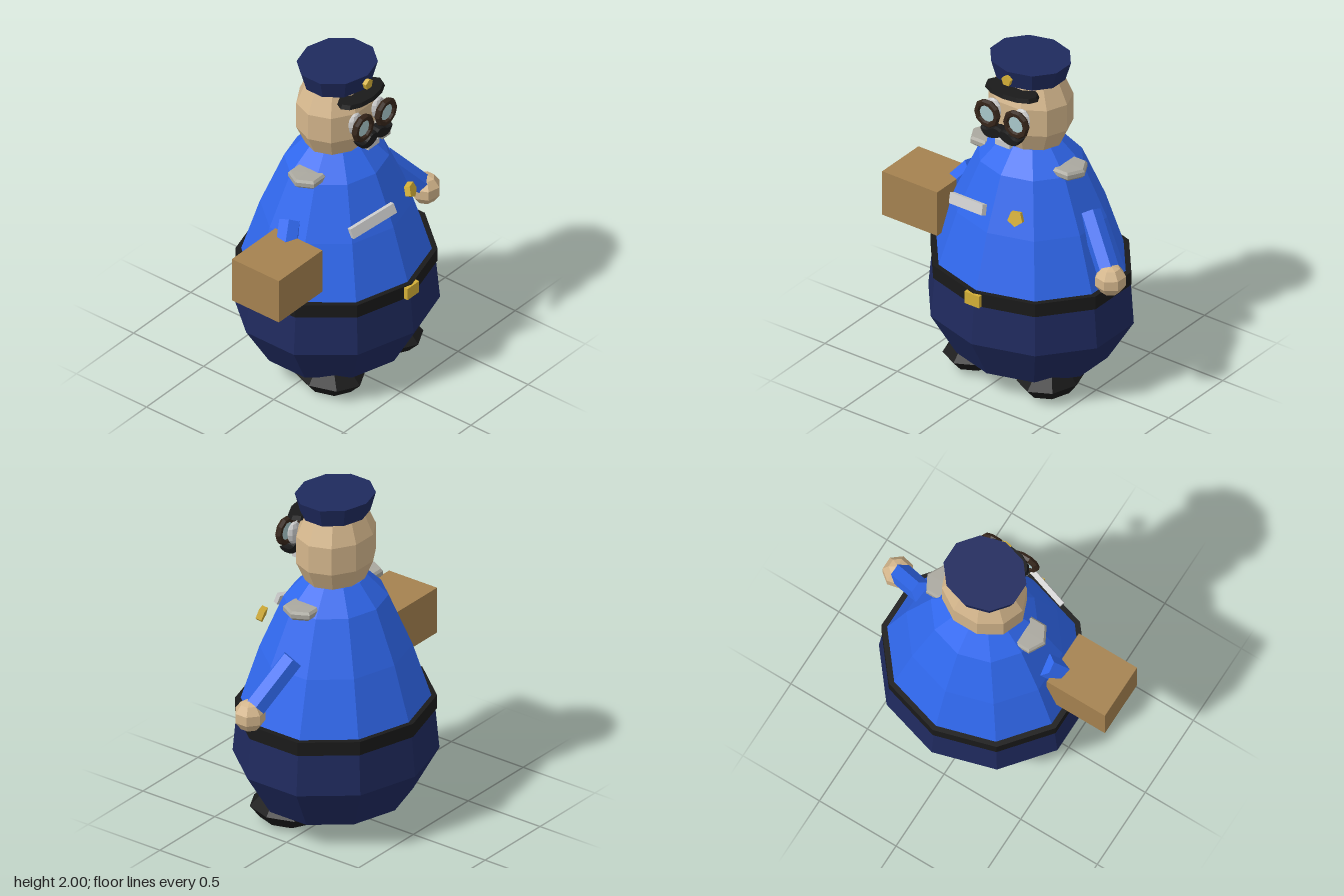
import * as THREE from 'three';

const mat = (color) => new THREE.MeshStandardMaterial({ color, flatShading: true });
const shirtBlue = mat(0x3068ee), navy = mat(0x1f2a5e), skin = mat(0xd4b68c), black = mat(0x1a1a1a),
  gold = mat(0xd4af37), silver = mat(0xaaa89f), white = mat(0xe6e6e6), brown = mat(0x35251a),
  glass = mat(0xa9c8cc), cardboard = mat(0xa58250);

export function createModel() {
  const root = new THREE.Group();
  const figure = new THREE.Group();
  figure.name = 'officer';
  figure.position.x = 0.05; // the carried box shifts the body off centre
  root.add(figure);

  function add(name, geometry, material, pos = [0, 0, 0], scale = [1, 1, 1], rot = [0, 0, 0]) {
    const mesh = new THREE.Mesh(geometry, material);
    mesh.name = name;
    mesh.position.set(...pos);
    mesh.scale.set(...scale);
    mesh.rotation.set(...rot);
    figure.add(mesh);
    return mesh;
  }
  // Profile given as [radius, height] from bottom to top
  const lathe = (points, sides, start = 0) =>
    new THREE.LatheGeometry(points.map(([r, y]) => new THREE.Vector2(r, y)), sides, start);
  const box = (w, h, d) => new THREE.BoxGeometry(w, h, d);
  const disc = (r, depth, sides) => new THREE.CylinderGeometry(r, r, depth, sides).rotateX(Math.PI / 2);

  // Ten-sided body, wider than deep
  const wide = [1.114, 1, 1];
  add('trousers', lathe([[0, 0.145], [0.41, 0.145], [0.55, 0.4], [0.527, 0.66], [0, 0.66]], 10), navy, [0, 0, 0], wide);
  add('belt', lathe([[0, 0.645], [0.537, 0.645], [0.537, 0.727], [0, 0.727]], 10), black, [0, 0, 0], wide);
  add('shirt', lathe([[0.515, 0.7], [0.507, 0.727], [0.407, 1.05], [0.28, 1.36], [0.165, 1.49], [0, 1.49]], 10), shirtBlue, [0, 0, 0], wide);
  add('buckle', box(0.1, 0.075, 0.05), gold, [0, 0.685, 0.523]);

  // Head, with corners at the sides
  add('head', lathe([[0, 1.46], [0.78, 1.49], [1, 1.605], [1, 1.77], [0.78, 1.885], [0, 1.9]], 10, Math.PI / 2),
    skin, [0, 0, 0], [0.249, 1, 0.21]);

  // Cap
  add('cap', lathe([[0, 1.89], [0.187, 1.89], [0.216, 2], [0, 2]], 10), navy, [0, 0, 0.005], wide);
  add('capPeak', new THREE.CylinderGeometry(0.93, 1, 0.025, 12), black, [0, 1.86, 0.175], [0.178, 1, 0.09]);
  add('capBadge', disc(0.032, 0.025, 5).rotateZ(Math.PI), gold, [0, 1.945, 0.222]);

  // Moustache half: a thick curl that thins towards a raised tip
  const curl = new THREE.Shape();
  curl.moveTo(0, 0.022);
  curl.quadraticCurveTo(0.04, 0.045, 0.075, 0.012);
  curl.quadraticCurveTo(0.1, -0.005, 0.132, 0.006);
  curl.quadraticCurveTo(0.11, -0.04, 0.075, -0.036);
  curl.quadraticCurveTo(0.03, -0.035, 0, -0.008);
  const curlGeo = new THREE.ExtrudeGeometry(curl, {
    depth: 0.03, curveSegments: 4, bevelThickness: 0.018, bevelSize: 0.006, bevelSegments: 1,
  });

  const handGeo = new THREE.SphereGeometry(0.092, 7, 5);
  const shoeGeo = new THREE.SphereGeometry(1, 8, 4);
  const epauletteGeo = lathe([[0, -0.03], [0.8, -0.028], [1, -0.01], [1, 0.014], [0.88, 0.028], [0, 0.03]], 6, Math.PI / 2);

  // Parts that come in pairs
  for (const s of [1, -1]) {
    const side = s > 0 ? 'left' : 'right';

    add(side + 'Eye', new THREE.SphereGeometry(1, 8, 6), white, [s * 0.1, 1.725, 0.215], [0.055, 0.068, 0.025]);
    add(side + 'GlassesRim', new THREE.TorusGeometry(0.068, 0.02, 6, 10), brown, [s * 0.1, 1.72, 0.27]);
    add(side + 'Lens', disc(0.06, 0.012, 10), glass, [s * 0.1, 1.72, 0.268]);

    const geo = curlGeo.clone();
    if (s < 0) geo.rotateY(Math.PI).translate(0, 0, 0.03);
    add(side + 'Moustache', geo, black, [0, 1.622, 0.245]);

    add(side + 'Epaulette', epauletteGeo, silver, [s * 0.285, 1.38, 0.02], [0.1, 1, 0.107]);

    // Sleeve from shoulder to wrist
    const top = new THREE.Vector3(s * 0.4, 1.13, -0.005), wrist = new THREE.Vector3(s * 0.605, 0.88, 0.1);
    const axis = wrist.clone().sub(top);
    const sleeve = add(side + 'Arm', new THREE.CylinderGeometry(0.066, 0.066, axis.length(), 6), shirtBlue);
    sleeve.position.copy(top).addScaledVector(axis, 0.5);
    sleeve.quaternion.setFromUnitVectors(new THREE.Vector3(0, -1, 0), axis.normalize());
    add(side + 'Hand', handGeo, skin, [s * 0.635, 0.838, 0.115]);

    add(side + 'Shoe', shoeGeo, black, [s * 0.255, 0.1, 0.155], [0.176, 0.098, 0.22]);
  }

  add('teeth', box(0.1, 0.036, 0.035), white, [0, 1.557, 0.25]);

  // Chest fittings, leaning with the slope of the shirt
  add('namePlate', box(0.3, 0.062, 0.03), white, [-0.152, 1.17, 0.38], [1, 1, 1], [-0.3, -0.31, 0.11]);
  add('chestBadge', disc(0.046, 0.035, 5), gold, [0.18, 1.195, 0.38], [1, 1, 1], [-0.3, 0.3, 0.1]);

  add('parcel', box(0.38, 0.28, 0.335), cardboard, [-0.64, 0.94, 0.098]);

  return root;
}
